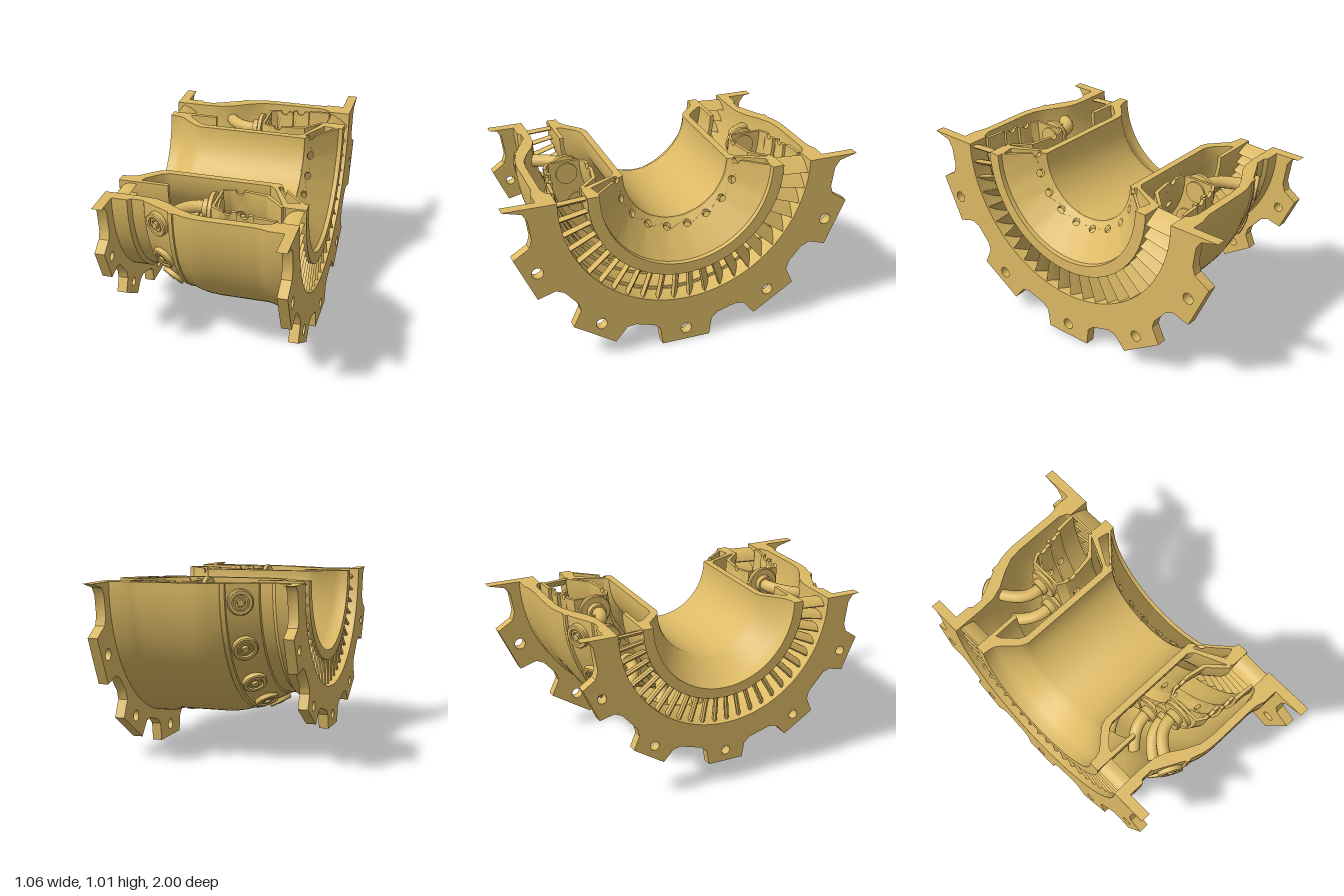
import * as THREE from 'three';
import { mergeGeometries, toCreasedNormals } from 'three/addons/utils/BufferGeometryUtils.js';

const SEG = 64;
const AXIS_Y = 1;
const DEG = Math.PI / 180;
const material = new THREE.MeshStandardMaterial({ color: 0xdcb964, side: THREE.DoubleSide });

function addMesh(parent, name, geometry) {
  const mesh = new THREE.Mesh(geometry, material);
  mesh.name = name;
  parent.add(mesh);
  return mesh;
}

// Half revolution of a closed (x, radius) profile about the x axis, with capped cut faces
function halfRevolve(profile) {
  const points = [...profile, profile[0]].map(([x, r]) => new THREE.Vector2(r, x));
  const skin = new THREE.LatheGeometry(points, SEG, 0, Math.PI).rotateZ(-Math.PI / 2);
  const cap = side => new THREE.ShapeGeometry(
    new THREE.Shape(profile.map(([x, r]) => new THREE.Vector2(x, r * side)))
  ).rotateX(-Math.PI / 2);
  const merged = mergeGeometries([skin, cap(1), cap(-1)]).translate(0, AXIS_Y, 0);
  return toCreasedNormals(merged, 0.45);
}

// Scalloped half flange with eleven-per-turn lobes and a bolt hole in each
function halfFlange({ tip, valley, half, endR, inner, boltR, holeR }) {
  const at = (deg, r) => new THREE.Vector2(r * Math.sin(deg * DEG), AXIS_Y - r * Math.cos(deg * DEG));
  const pitch = 360 / 11;
  const outline = [[-90, endR]];
  for (let k = -3; k <= 3; k++) {
    const c = k * pitch;
    for (const [da, r] of [
      [-half - 4.6, valley], [-half - 1.8, valley + 0.025], [-half, tip],
      [half, tip], [half + 1.8, valley + 0.025], [half + 4.6, valley]
    ]) if (Math.abs(c + da) < 89.9) outline.push([c + da, r]);
  }
  outline.push([90, endR]);
  for (let i = 0; i <= SEG; i++) outline.push([90 - 180 * i / SEG, inner]);
  const shape = new THREE.Shape(outline.map(([a, r]) => at(a, r)));
  for (let k = -2; k <= 2; k++) {
    const p = at(k * pitch, boltR);
    shape.holes.push(new THREE.Path().absarc(p.x, p.y, holeR, 0, Math.PI * 2, true));
  }
  const geo = new THREE.ExtrudeGeometry(shape, { depth: 0.055, bevelEnabled: false, curveSegments: 10 });
  return toCreasedNormals(geo.rotateY(Math.PI / 2), 0.5);
}

// Perforated half ring: nine bent panels, with half a hole bitten out of each panel end
function perforatedRing({ x0, r0, x1, r1, thick, hole, at }) {
  const span = Math.PI / 9, steps = 8;
  const length = Math.hypot(x1 - x0, r1 - r0);
  const a = hole / (r0 + (r1 - r0) * at), b = hole / length;
  const pts = [];
  for (let i = 0; i <= steps; i++) pts.push(new THREE.Vector2(span * i / steps, 0));
  for (let i = 0; i <= 8; i++) {
    const t = Math.PI * i / 8;
    pts.push(new THREE.Vector2(span - a * Math.sin(t), at - b * Math.cos(t)));
  }
  for (let i = steps; i >= 0; i--) pts.push(new THREE.Vector2(span * i / steps, 1));
  for (let i = 0; i <= 8; i++) {
    const t = Math.PI * i / 8;
    pts.push(new THREE.Vector2(a * Math.sin(t), at + b * Math.cos(t)));
  }
  const panels = [];
  for (let k = 0; k < 9; k++) {
    const geo = new THREE.ExtrudeGeometry(new THREE.Shape(pts), { depth: thick, bevelEnabled: false });
    const pos = geo.attributes.position;
    for (let i = 0; i < pos.count; i++) {
      const phi = pos.getX(i) + k * span, v = pos.getY(i);
      const r = r0 + (r1 - r0) * v + pos.getZ(i);
      pos.setXYZ(i, x0 + (x1 - x0) * v, AXIS_Y - r * Math.sin(phi), r * Math.cos(phi));
    }
    panels.push(geo);
  }
  return toCreasedNormals(mergeGeometries(panels), 0.6);
}

// Pivot on the axis: local x is axial and local z points outwards
function radialPivot(parent, name, phi) {
  const pivot = new THREE.Group();
  pivot.name = name;
  pivot.position.y = AXIS_Y;
  pivot.rotation.x = phi;
  parent.add(pivot);
  return pivot;
}

// Ring of cambered guide vanes
function vaneRing(parent, name, { x0, x1, r0, r1, sweep, count }) {
  const mid = (x0 + x1) / 2;
  const shape = new THREE.Shape();
  shape.moveTo(x0, -sweep / 2);
  shape.quadraticCurveTo(mid - 0.02, sweep * 0.45 + 0.012, x1, sweep / 2);
  shape.quadraticCurveTo(mid + 0.01, sweep * 0.1 - 0.014, x0 + 0.008, -sweep / 2 - 0.008);
  const geo = toCreasedNormals(new THREE.ExtrudeGeometry(shape,
    { depth: r1 - r0, bevelEnabled: false, curveSegments: 6 }).translate(0, 0, r0), 0.6);
  const ring = new THREE.Group();
  ring.name = name + 's';
  for (let i = 0; i < count; i++) {
    addMesh(radialPivot(ring, name, Math.PI * (i + 0.5) / count), name + 'Blade', geo);
  }
  parent.add(ring);
}

export function createModel() {
  const model = new THREE.Group();
  model.name = 'combustorSection';

  // Outer pressure casing
  addMesh(model, 'outerCasing', halfRevolve([
    [-0.53, 0.685], [-0.39, 0.685], [-0.37, 0.668], [-0.305, 0.667], [-0.3, 0.677], [-0.28, 0.685],
    [-0.145, 0.752], [-0.143, 0.765], [-0.12, 0.77], [-0.115, 0.764], [-0.05, 0.785], [0.0, 0.794],
    [0.05, 0.797], [0.32, 0.797], [0.355, 0.803], [0.39, 0.815], [0.53, 0.815],
    [0.53, 0.715], [0.41, 0.715], [0.395, 0.735], [0.35, 0.752], [0.06, 0.752], [-0.02, 0.742],
    [-0.1, 0.705], [-0.18, 0.655], [-0.25, 0.63], [-0.34, 0.623], [-0.53, 0.623]
  ]));

  // End flanges
  addMesh(model, 'rearFlange', halfFlange({
    tip: 1, valley: 0.875, half: 8.1, endR: 1, inner: 0.815, boltR: 0.918, holeR: 0.032
  })).position.x = 0.475;
  addMesh(model, 'frontFlange', halfFlange({
    tip: 0.866, valley: 0.76, half: 6.8, endR: 0.826, inner: 0.685, boltR: 0.795, holeR: 0.026
  })).position.x = -0.53;

  // Inner casing with its diffuser lip and the hollow rear cone
  addMesh(model, 'innerCasing', halfRevolve([
    [-0.51, 0.477], [-0.235, 0.477], [-0.235, 0.455], [-0.39, 0.452], [-0.38, 0.425], [-0.31, 0.355],
    [-0.27, 0.338], [0.29, 0.338], [0.32, 0.36], [0.40, 0.535], [0.42, 0.555], [0.53, 0.555],
    [0.53, 0.49], [0.505, 0.487], [0.48, 0.487], [0.42, 0.5], [0.335, 0.345], [0.35, 0.325],
    [0.34, 0.3], [-0.29, 0.3], [-0.33, 0.315], [-0.43, 0.405], [-0.47, 0.418], [-0.51, 0.42]
  ]));
  addMesh(model, 'perforatedCone', perforatedRing({
    x0: 0.335, r0: 0.3, x1: 0.505, r1: 0.487, thick: 0.022, hole: 0.022, at: 0.22
  }));

  // Annular flame tube: dome, perforated walls and rear rings
  addMesh(model, 'flameTubeDome', halfRevolve([
    [0.05, 0.45], [0.05, 0.64], [0.1, 0.67], [0.1, 0.652], [0.065, 0.63],
    [0.065, 0.455], [0.1, 0.44], [0.1, 0.422]
  ]));
  for (const [name, x0, x1, r, at] of [
    ['flameTubeOuterWallFront', 0.1, 0.195, 0.652, 0.45],
    ['flameTubeOuterWallRear', 0.195, 0.29, 0.67, 0.45],
    ['flameTubeInnerWall', 0.1, 0.2, 0.422, 0.5]
  ]) addMesh(model, name, perforatedRing({ x0, x1, r0: r, r1: r, thick: 0.018, hole: 0.022, at }));
  addMesh(model, 'flameTubeOuterRing', halfRevolve([
    [0.29, 0.705], [0.41, 0.712], [0.41, 0.695], [0.29, 0.685]
  ]));
  addMesh(model, 'flameTubeInnerRing', halfRevolve([
    [0.2, 0.44], [0.3, 0.46], [0.4, 0.56], [0.41, 0.545], [0.31, 0.44], [0.2, 0.422]
  ]));

  // Guide vanes at both ends
  vaneRing(model, 'inletVane', { x0: -0.5, x1: -0.41, r0: 0.465, r1: 0.635, sweep: 0.03, count: 26 });
  vaneRing(model, 'outletVane', { x0: 0.415, x1: 0.52, r0: 0.545, r1: 0.725, sweep: 0.055, count: 24 });

  // Fuel nozzles: casing boss, bent feed pipe and swirl collar
  const bossGeo = toCreasedNormals(new THREE.LatheGeometry([
    [0.068, -0.03], [0.068, 0.018], [0.062, 0.024], [0.045, 0.024], [0.045, 0.008], [0.037, 0.008],
    [0.037, 0.02], [0.026, 0.02], [0.026, 0.006], [0.018, 0.006], [0.018, 0.028], [0, 0.028]
  ].map(([r, y]) => new THREE.Vector2(r, y)), 28), 0.5).rotateX(Math.PI / 2).rotateY(-0.48);
  const pipeGeo = new THREE.TubeGeometry(new THREE.CatmullRomCurve3([
    [-0.2, 0.69], [-0.17, 0.63], [-0.11, 0.56], [-0.04, 0.53], [0.05, 0.53]
  ].map(([x, r]) => new THREE.Vector3(x, 0, r))), 20, 0.034, 14);
  const collarGeo = toCreasedNormals(new THREE.LatheGeometry([
    [0.036, -0.02], [0.05, -0.02], [0.05, 0.015], [0.085, 0.015], [0.09, 0.02],
    [0.09, 0.04], [0.06, 0.045], [0.06, 0.075], [0, 0.075]
  ].map(([r, y]) => new THREE.Vector2(r, y)), 24), 0.5).rotateZ(-Math.PI / 2);
  for (let i = 0; i < 9; i++) {
    const nozzle = radialPivot(model, 'fuelNozzle', (7.6 + 20.6 * i) * DEG);
    addMesh(nozzle, 'nozzleBoss', bossGeo).position.set(-0.212, 0, 0.722);
    addMesh(nozzle, 'feedPipe', pipeGeo);
    addMesh(nozzle, 'swirlCollar', collarGeo).position.set(0, 0, 0.535);
  }
  return model;
}
